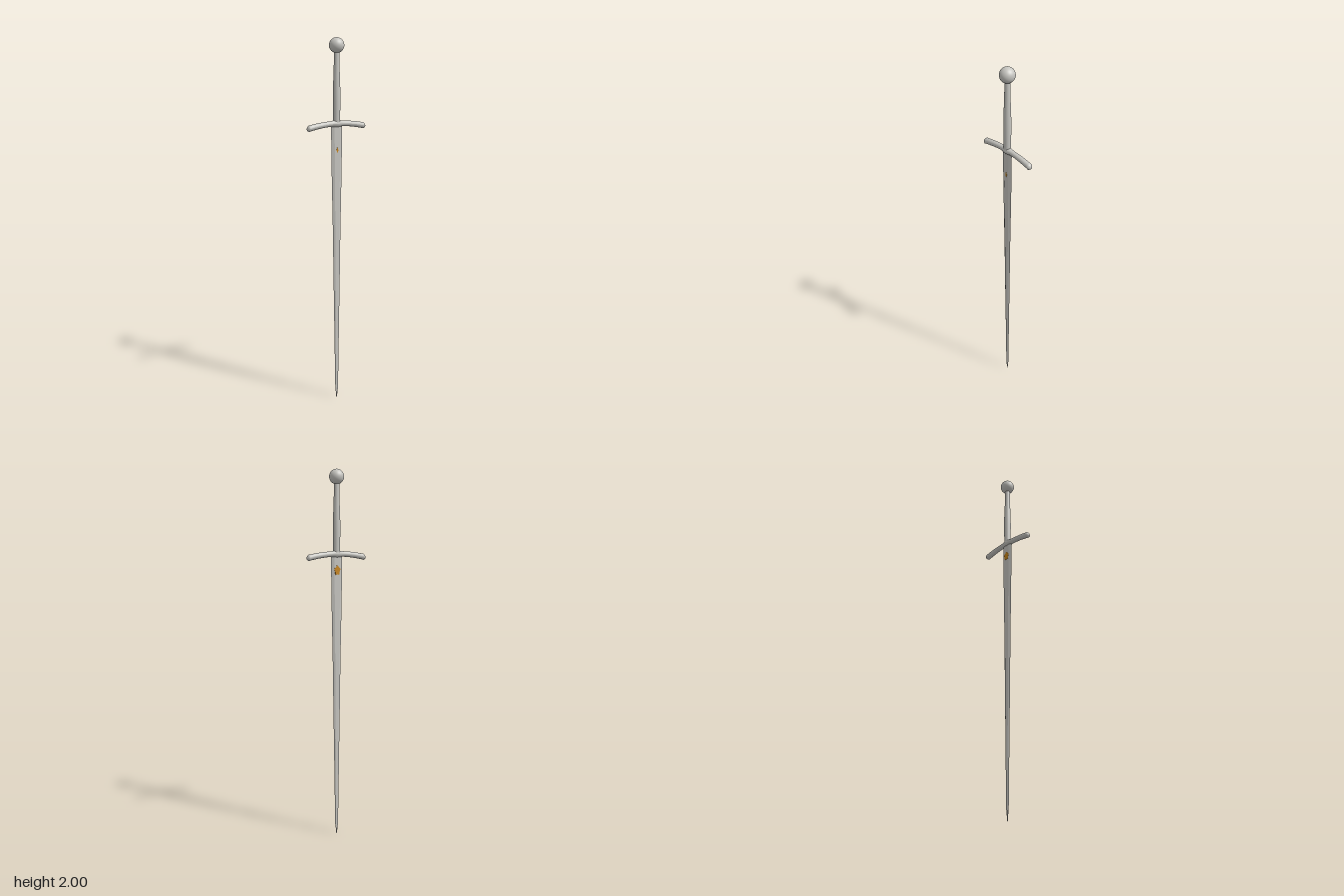
import * as THREE from 'three';

const steel = new THREE.MeshStandardMaterial({ color: 0xc6c5c0 });
steel.name = 'steel';
const gold = new THREE.MeshStandardMaterial({ color: 0xc8851a });
gold.name = 'gold';

const lathe = (pts, sides) =>
  new THREE.LatheGeometry(pts.map(([r, y]) => new THREE.Vector2(r, y)), sides);

// Flat-sided blade: bevelled six-sided sections lofted from guard to tip
function bladeGeometry() {
  // height, half width, half thickness
  const stations = [
    [1.565, 0.034, 0.008], [1.3, 0.0305, 0.0075], [1.0, 0.024, 0.007],
    [0.7, 0.0195, 0.006], [0.4, 0.0145, 0.005], [0.2, 0.0115, 0.004],
    [0.06, 0.009, 0.003], [0.03, 0.005, 0.0025], [0, 0.002, 0.001],
  ];
  const rings = stations.map(([y, w, t]) => [
    [w, y, 0], [w * 0.5, y, t], [-w * 0.5, y, t],
    [-w, y, 0], [-w * 0.5, y, -t], [w * 0.5, y, -t],
  ]);
  const pos = [];
  const tri = (...corners) => corners.forEach((c) => pos.push(...c));
  for (let i = 0; i < rings.length - 1; i++) {
    for (let j = 0; j < 6; j++) {
      const k = (j + 1) % 6;
      const a = rings[i][j], b = rings[i][k], c = rings[i + 1][j], d = rings[i + 1][k];
      tri(a, b, c);
      tri(b, d, c);
    }
  }
  // end caps
  const last = rings[rings.length - 1];
  for (let j = 1; j < 5; j++) {
    tri(rings[0][0], rings[0][j + 1], rings[0][j]);
    tri(last[0], last[j], last[j + 1]);
  }
  // outer faces wind towards the outside
  for (let i = 0; i < pos.length; i += 9) {
    const p = [0, 3, 6].map((o) => new THREE.Vector3(...pos.slice(i + o, i + o + 3)));
    const n = p[1].clone().sub(p[0]).cross(p[2].clone().sub(p[0]));
    const mid = p[0].clone().add(p[1]).add(p[2]).divideScalar(3);
    const out = new THREE.Vector3(mid.x, 0, mid.z);
    if (Math.abs(n.y) > n.length() * 0.95) out.set(0, mid.y - 0.8, 0);
    if (n.dot(out) < 0) {
      pos.splice(i + 3, 6, ...p[2].toArray(), ...p[1].toArray());
    }
  }
  const g = new THREE.BufferGeometry();
  g.setAttribute('position', new THREE.Float32BufferAttribute(pos, 3));
  g.computeVertexNormals();
  return g;
}

// Crossguard: turned bar with a central swelling and domed ends, bent downwards
function guardGeometry() {
  const profile = [[0, -0.175], [0.008, -0.174], [0.0135, -0.169], [0.0165, -0.164], [0.0155, -0.155]];
  for (let i = -14; i <= 14; i++) {
    const x = i * 0.01;
    profile.push([0.0135 + 0.002 * Math.abs(x) / 0.14 + 0.006 * Math.exp(-((x / 0.022) ** 2)), x]);
  }
  profile.push([0.0155, 0.155], [0.0165, 0.164], [0.0135, 0.169], [0.008, 0.174], [0, 0.175]);
  const g = lathe(profile, 20).rotateZ(-Math.PI / 2);
  const p = g.attributes.position;
  for (let i = 0; i < p.count; i++) {
    const x = p.getX(i);
    p.setY(i, p.getY(i) + 1.566 - 0.019 * (x / 0.17) ** 2);
  }
  g.computeVertexNormals();
  return g;
}

// Thin ornamental inlay: a lobed rosette with a stem
function inlayGeometry() {
  const shape = new THREE.Shape();
  for (let i = 0; i < 40; i++) {
    const a = (i / 40) * Math.PI * 2;
    const r = 0.0175 + 0.0025 * Math.cos(5 * a);
    const x = r * Math.sin(a) * 0.95, y = r * Math.cos(a) * 1.35;
    if (i) shape.lineTo(x, y);
    else shape.moveTo(x, y);
  }
  return new THREE.ExtrudeGeometry(shape, { depth: 0.0015, bevelEnabled: false });
}

export function createModel() {
  const model = new THREE.Group();
  const add = (name, geometry, material) => {
    const mesh = new THREE.Mesh(geometry, material);
    mesh.name = name;
    model.add(mesh);
    return mesh;
  };

  add('blade', bladeGeometry(), steel);
  add('crossguard', guardGeometry(), steel);

  // Grip swells gently in its lower half
  add('grip', lathe([
    [0.018, 1.56], [0.0185, 1.62], [0.0195, 1.68], [0.019, 1.74],
    [0.0165, 1.81], [0.0145, 1.87], [0.0135, 1.94],
  ], 24), steel);

  add('pommel', new THREE.SphereGeometry(0.039, 32, 24), steel).position.y = 1.961;

  // Gold rosette on the back, its small stud showing on the front
  const inlay = add('backInlay', inlayGeometry(), gold);
  inlay.position.set(0, 1.48, -0.0092);
  const stud = add('frontStud', new THREE.CylinderGeometry(0.006, 0.006, 0.002, 4), gold);
  stud.geometry.rotateX(Math.PI / 2).scale(1, 2.6, 1);
  stud.position.set(0, 1.428, 0.0078);

  return model;
}
